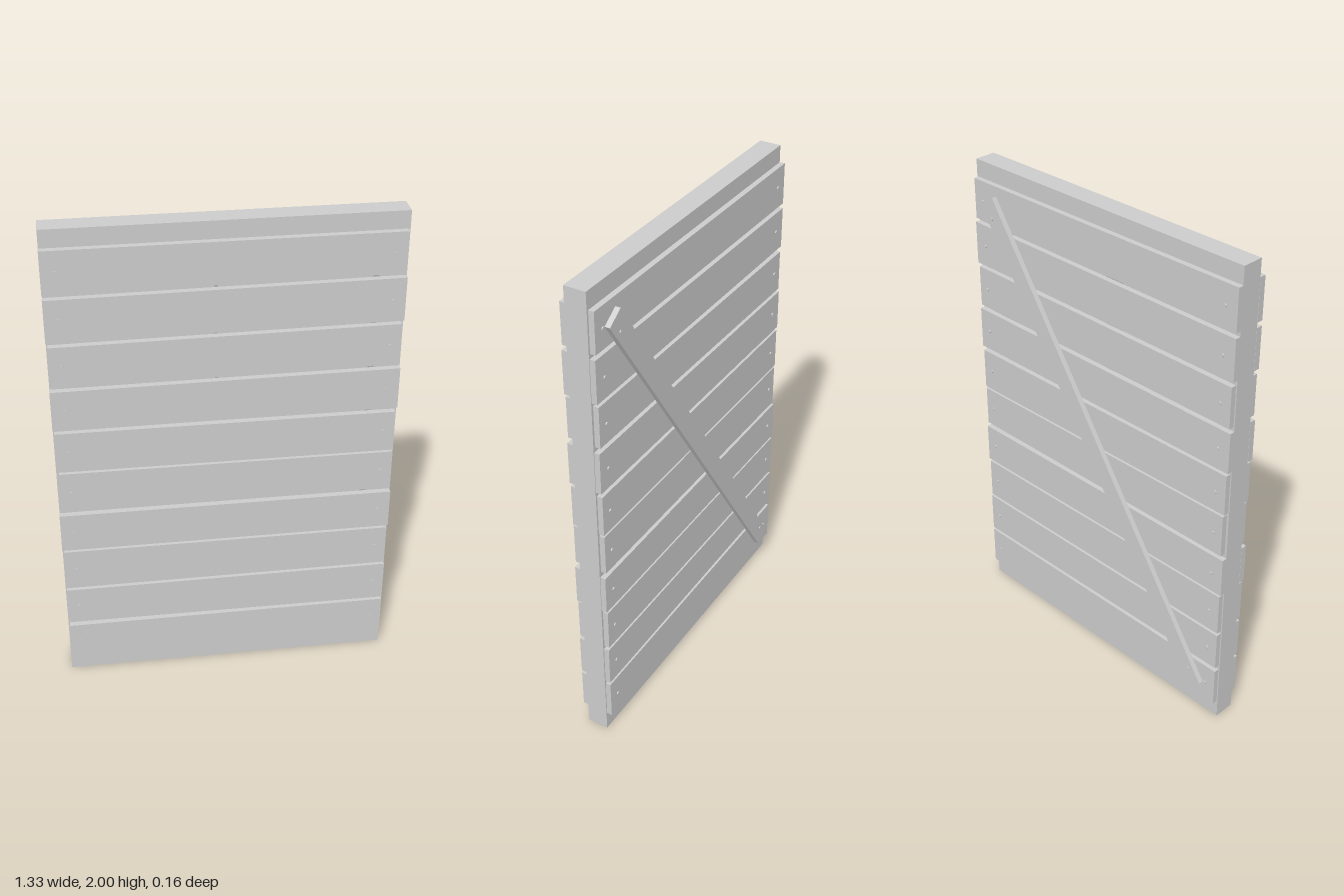
import * as THREE from 'three';

export function createModel() {
  const group = new THREE.Group();
  group.name = 'plankPanel';
  const wood = new THREE.MeshStandardMaterial({ color: 0xcccccc, flatShading: true });
  wood.name = 'light grey wood';

  const add = (name, geometry, x = 0, y = 0, z = 0) => {
    const mesh = new THREE.Mesh(geometry, wood);
    mesh.name = name;
    mesh.position.set(x, y, z);
    group.add(mesh);
    return mesh;
  };

  // Rectangle outline, usable as a shape or a hole
  const rect = (Type, x0, y0, x1, y1) => new Type([
    new THREE.Vector2(x0, y0), new THREE.Vector2(x1, y0),
    new THREE.Vector2(x1, y1), new THREE.Vector2(x0, y1),
  ]);

  // Frame with two side posts, a centre post and end rails
  const frame = rect(THREE.Shape, -0.665, 0, 0.665, 2);
  frame.holes.push(
    rect(THREE.Path, -0.565, 0.1, -0.035, 1.9),
    rect(THREE.Path, 0.035, 0.1, 0.562, 1.9),
  );
  add('frame', new THREE.ExtrudeGeometry(frame, { depth: 0.087, bevelEnabled: false }), 0, 0, -0.036);

  // Slightly uneven slats: left x, right x, bottom left/right y, top left/right y
  const slats = [
    [-0.660, 0.660, 0.077, 0.081, 0.248, 0.250],
    [-0.660, 0.660, 0.268, 0.263, 0.434, 0.437],
    [-0.660, 0.656, 0.447, 0.449, 0.627, 0.625],
    [-0.666, 0.662, 0.637, 0.636, 0.804, 0.802],
    [-0.655, 0.655, 0.821, 0.825, 1.000, 0.995],
    [-0.660, 0.657, 1.010, 1.004, 1.182, 1.178],
    [-0.666, 0.662, 1.195, 1.197, 1.364, 1.370],
    [-0.660, 0.655, 1.381, 1.390, 1.550, 1.559],
    [-0.666, 0.662, 1.572, 1.574, 1.740, 1.748],
    [-0.666, 0.657, 1.761, 1.766, 1.930, 1.930],
  ];

  const slatGeometry = ([x0, x1, b0, b1, t0, t1], depth) => {
    const shape = new THREE.Shape([
      new THREE.Vector2(x0, b0), new THREE.Vector2(x1, b1),
      new THREE.Vector2(x1, t1), new THREE.Vector2(x0, t0),
    ]);
    return new THREE.ExtrudeGeometry(shape, { depth, bevelEnabled: false });
  };

  // Nail heads
  const nailGeometry = new THREE.CylinderGeometry(0.007, 0.007, 0.01, 8).rotateX(Math.PI / 2);
  const nail = (x, y, z) => add('nail', nailGeometry, x, y, z);

  // Slats and their nails on both faces
  slats.forEach((s) => {
    add('frontSlat', slatGeometry(s, 0.025), 0, 0, 0.051);
    add('backSlat', slatGeometry(s, 0.022), 0, 0, -0.058);
    const midY = (s[2] + s[3] + s[4] + s[5]) / 4;
    for (const side of [-1, 1]) {
      nail(side * 0.613, midY, 0.075);
      nail(side * 0.613, midY, -0.058);
    }
  });

  // Diagonal brace across the back
  const brace = add('diagonalBrace', new THREE.BoxGeometry(2.07, 0.08, 0.022), 0, 1.003, -0.068);
  brace.rotation.z = Math.atan2(1.495, 0.98);
  nail(-0.54, 0.204, -0.078);
  nail(0.54, 1.803, -0.078);

  return group;
}
